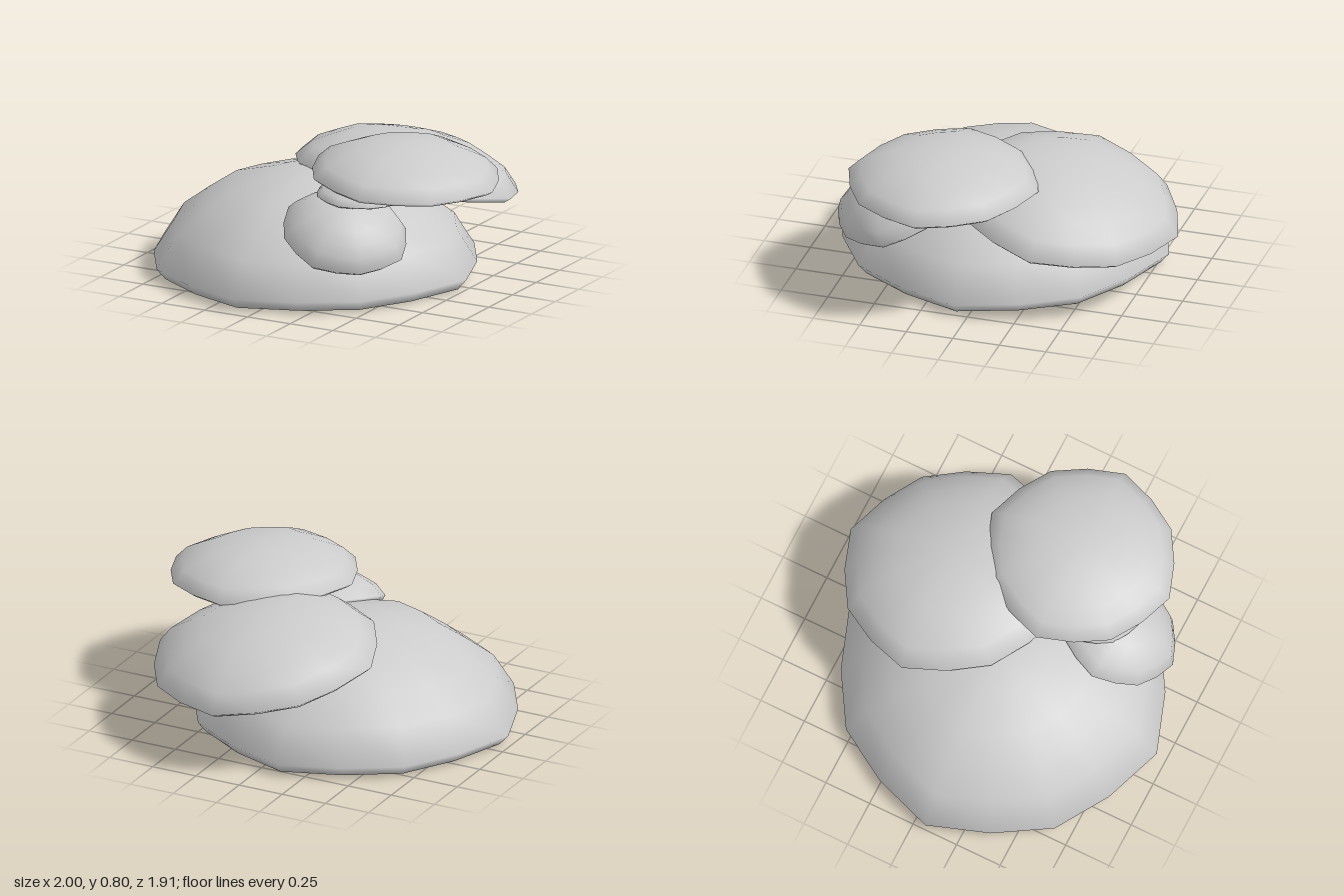
import * as THREE from 'three';
import { mergeVertices } from 'three/addons/utils/BufferGeometryUtils.js';

const SEGMENTS = 16;

// Low-poly cap: eight-cornered outline, rounded top and a hollowed underside (radius 1, height 1)
function capGeometry() {
  const profile = [
    [0, 0.32], [0.265, 0.27], [0.523, 0.17], [0.85, -0.13], [0.945, -0.115], [1, 0],
    [0.872, 0.355], [0.7, 0.585], [0.523, 0.8], [0.265, 0.92], [0, 1],
  ].map(([r, y]) => new THREE.Vector2(r, y));
  let geometry = new THREE.LatheGeometry(profile, SEGMENTS);
  const position = geometry.attributes.position;
  for (let i = 0; i < position.count; i++) {
    const side = Math.floor(i / profile.length) % 4;
    const pull = [1, 0.945, 0.96, 0.945][side];
    position.setX(i, position.getX(i) * pull);
    position.setZ(i, position.getZ(i) * pull);
  }
  // Weld the seam and poles so the shading is smooth all round
  geometry.deleteAttribute('uv');
  geometry.deleteAttribute('normal');
  geometry = mergeVertices(geometry, 1e-4);
  return geometry;
}

// center: middle of the rim; slope: rise of the rim plane along x and z
const caps = [
  { name: 'baseMound', center: [-0.115, 0.064, 0.07], radius: 0.883, height: 0.49, slope: [0, 0] },
  { name: 'backCap', center: [0.188, 0.443, -0.35], radius: 0.615, height: 0.235, slope: [-0.08, 0.18] },
  { name: 'topCap', center: [0.49, 0.63, 0.21], radius: 0.51, height: 0.174, slope: [-0.05, -0.02] },
  { name: 'smallMiddleCap', center: [0.328, 0.543, 0.4], radius: 0.235, height: 0.083, slope: [-0.04, 0] },
  { name: 'frontCap', center: [0.305, 0.365, 0.518], radius: 0.338, height: 0.185, slope: [-0.32, -0.32] },
];

export function createModel() {
  const model = new THREE.Group();
  model.name = 'stackedCaps';
  const material = new THREE.MeshStandardMaterial({ color: 0xcccccc });
  const up = new THREE.Vector3(0, 1, 0);

  for (const { name, center, radius, height, slope } of caps) {
    const geometry = capGeometry().scale(radius, height, radius);
    geometry.computeVertexNormals();
    const cap = new THREE.Mesh(geometry, material);
    cap.name = name;
    cap.position.set(...center);
    const tilt = new THREE.Vector3(-slope[0], 1, -slope[1]).normalize();
    cap.quaternion.setFromUnitVectors(up, tilt);
    model.add(cap);
  }
  return model;
}
